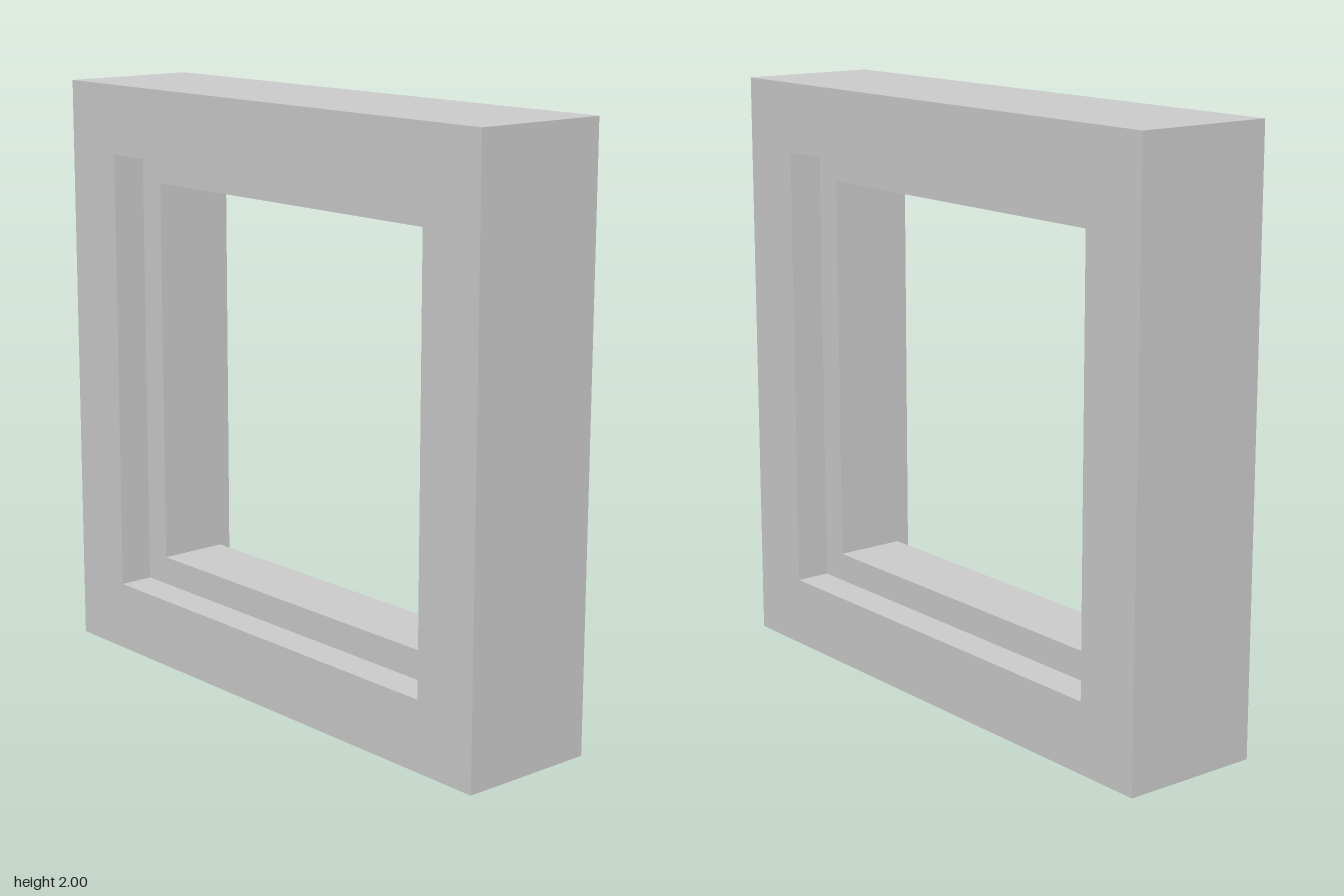
import * as THREE from 'three';

export function createModel() {
  const group = new THREE.Group();
  const outer = 1, recess = 0.763, opening = 0.665; // half widths of the squares
  const face = 0.242, lip = 0.122;                  // half depths

  // Closed cross-section of the frame (half width, depth), swept around four corners
  const profile = [
    [outer, -face], [outer, face], [recess, face], [recess, lip],
    [opening, lip], [opening, -lip], [recess, -lip], [recess, -face], [outer, -face],
  ].map(([r, d]) => new THREE.Vector2(r * Math.SQRT2, d));

  // A four-sided lathe makes the square ring; its axis is then turned to x
  const geometry = new THREE.LatheGeometry(profile, 4, Math.PI / 4).toNonIndexed();
  geometry.rotateZ(Math.PI / 2);
  geometry.translate(0, outer, 0);
  geometry.computeVertexNormals();

  const frame = new THREE.Mesh(
    geometry,
    new THREE.MeshStandardMaterial({ color: 0xcccccc, flatShading: true })
  );
  frame.name = 'steppedWindowFrame';
  group.add(frame);
  return group;
}
